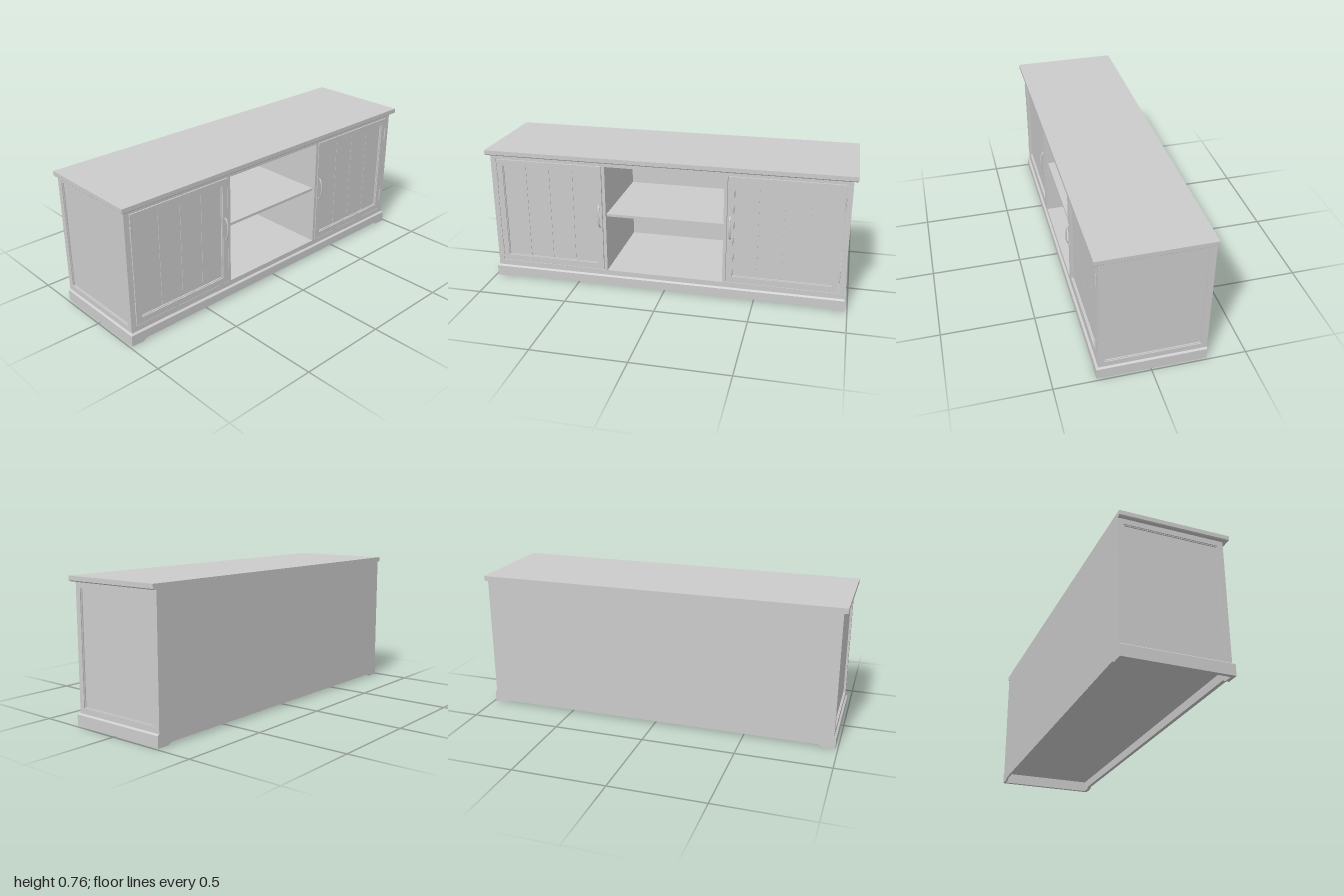
import * as THREE from 'three';

const mat = new THREE.MeshStandardMaterial({ color: 0xcccccc, flatShading: true });
const smooth = new THREE.MeshStandardMaterial({ color: 0xcccccc });
const BACK = -0.293;

function add(parent, name, geo, m = mat) {
  const mesh = new THREE.Mesh(geo, m);
  mesh.name = name;
  parent.add(mesh);
  return mesh;
}

// box given by its limits
function box(parent, name, x0, x1, y0, y1, z0, z1) {
  const mesh = add(parent, name, new THREE.BoxGeometry(x1 - x0, y1 - y0, z1 - z0));
  mesh.position.set((x0 + x1) / 2, (y0 + y1) / 2, (z0 + z1) / 2);
  return mesh;
}

// slab flush at the back whose half width and front differ at bottom and top
function taperedSlab(parent, name, y0, y1, bottom, top) {
  const geo = new THREE.BoxGeometry(2, 1, 1);
  const p = geo.attributes.position;
  for (let i = 0; i < p.count; i++) {
    const up = p.getY(i) > 0;
    const [hw, front] = up ? top : bottom;
    p.setXYZ(i, p.getX(i) * hw, up ? y1 : y0, p.getZ(i) > 0 ? front : BACK);
  }
  geo.computeVertexNormals();
  return add(parent, name, geo);
}

function rect(target, [x0, x1, y0, y1]) {
  target.moveTo(x0, y0);
  target.lineTo(x1, y0);
  target.lineTo(x1, y1);
  target.lineTo(x0, y1);
  target.closePath();
  return target;
}

// flat board with rectangular openings, extruded from z0 to z1
function framed(parent, name, outer, holes, z0, z1) {
  const shape = rect(new THREE.Shape(), outer);
  for (const h of holes) shape.holes.push(rect(new THREE.Path(), h));
  const geo = new THREE.ExtrudeGeometry(shape, { depth: z1 - z0, bevelEnabled: false });
  geo.translate(0, 0, z0);
  return add(parent, name, geo);
}

const inset = ([x0, x1, y0, y1], d) => [x0 + d, x1 - d, y0 + d, y1 - d];

// plinth board with a shallow cut along its lower edge
function plinthBoard(parent, name, hw, z0, z1) {
  const s = new THREE.Shape();
  [[-hw, 0], [-0.92, 0], [-0.9, 0.013], [0.9, 0.013], [0.92, 0], [hw, 0], [hw, 0.06], [-hw, 0.06]]
    .forEach(([x, y], i) => (i ? s.lineTo(x, y) : s.moveTo(x, y)));
  const geo = new THREE.ExtrudeGeometry(s, { depth: z1 - z0, bevelEnabled: false });
  geo.translate(0, 0, z0);
  add(parent, name, geo);
}

function createDoor(side) {
  const door = new THREE.Group();
  door.name = side > 0 ? 'leftDoor' : 'rightDoor';
  const outer = side > 0 ? [0.345, 0.945, 0.1, 0.705] : [-0.945, -0.345, 0.1, 0.705];
  const opening = inset(outer, 0.033);
  framed(door, 'doorFrame', outer, [opening], 0.245, 0.27);
  framed(door, 'doorBead', opening, [inset(opening, 0.004)], 0.245, 0.264);

  // plank infill with fine grooves
  const [x0, x1, y0, y1] = opening;
  box(door, 'doorBacking', x0, x1, y0, y1, 0.245, 0.254);
  const n = 4, w = (x1 - x0) / n;
  for (let i = 0; i < n; i++) {
    box(door, 'doorPlank', x0 + i * w + 0.001, x0 + (i + 1) * w - 0.001, y0, y1, 0.25, 0.257);
  }

  // bowed handle
  const path = new THREE.CatmullRomCurve3(
    [[0.355, 0.268], [0.362, 0.277], [0.385, 0.286], [0.42, 0.2895],
      [0.455, 0.286], [0.478, 0.277], [0.485, 0.268]].map(([y, z]) => new THREE.Vector3(0, y, z)));
  const handle = add(door, 'handle', new THREE.TubeGeometry(path, 28, 0.0035, 10), smooth);
  handle.position.x = side * 0.361;
  handle.scale.x = 1.6;
  for (const y of [0.357, 0.483]) box(door, 'handleFoot', side * 0.361 - 0.006, side * 0.361 + 0.006, y - 0.005, y + 0.005, 0.266, 0.273);

  // hinge barrels
  for (const y of [0.195, 0.605]) {
    const hinge = add(door, 'hinge', new THREE.CylinderGeometry(0.0045, 0.0045, 0.068, 12), smooth);
    hinge.position.set(side * 0.946, y, 0.27);
  }
  return door;
}

function createSide(side) {
  // built facing +z, then turned to face outward
  const g = new THREE.Group();
  g.name = side > 0 ? 'leftSide' : 'rightSide';
  const s = -side;
  const span = (a, b) => [Math.min(a * s, b * s), Math.max(a * s, b * s)];
  const outer = [...span(BACK, 0.267), 0.06, 0.735];
  const opening = [...span(-0.262, 0.238), 0.097, 0.703];
  framed(g, 'sideFrame', outer, [opening], 0.958, 0.978);
  framed(g, 'sideBead', opening, [inset(opening, 0.004)], 0.958, 0.973);
  framed(g, 'sidePanel', opening, [], 0.955, 0.967);
  g.rotation.y = side * Math.PI / 2;
  return g;
}

export function createModel() {
  const model = new THREE.Group();
  model.name = 'mediaCabinet';

  // top board with a chamfered lower edge
  taperedSlab(model, 'topBoard', 0.737, 0.76, [1, 0.293], [1, 0.293]);
  taperedSlab(model, 'topChamfer', 0.732, 0.737, [0.995, 0.288], [1, 0.293]);

  // hollow plinth and its bevelled ledge
  plinthBoard(model, 'plinthFront', 0.988, 0.26, 0.28);
  plinthBoard(model, 'plinthBack', 0.988, BACK, BACK + 0.012);
  for (const s of [-1, 1]) {
    const [a, b] = s > 0 ? [0.968, 0.988] : [-0.988, -0.968];
    box(model, 'plinthSide', a, b, 0, 0.06, BACK + 0.012, 0.26);
  }
  taperedSlab(model, 'plinthBevel', 0.06, 0.067, [0.988, 0.28], [0.979, 0.27]);

  // carcass boards
  box(model, 'backPanel', -0.958, 0.958, 0.06, 0.735, BACK, -0.28);
  box(model, 'floorBoard', -0.958, 0.958, 0.067, 0.095, -0.28, 0.243);
  box(model, 'ceilingBoard', -0.958, 0.958, 0.706, 0.732, -0.28, 0.243);
  box(model, 'shelf', -0.326, 0.326, 0.415, 0.43, -0.28, 0.25);
  for (const s of [-1, 1]) {
    const [a, b] = s > 0 ? [0.325, 0.342] : [-0.342, -0.325];
    box(model, 'divider', a, b, 0.095, 0.706, -0.28, 0.243);
    model.add(createSide(s), createDoor(s));
  }

  // face frame with two door openings and the open bay
  framed(model, 'faceFrame', [-0.978, 0.978, 0.065, 0.734], [
    [-0.948, -0.342, 0.097, 0.708],
    [-0.325, 0.325, 0.095, 0.706],
    [0.342, 0.948, 0.097, 0.708],
  ], 0.243, 0.268);

  return model;
}
